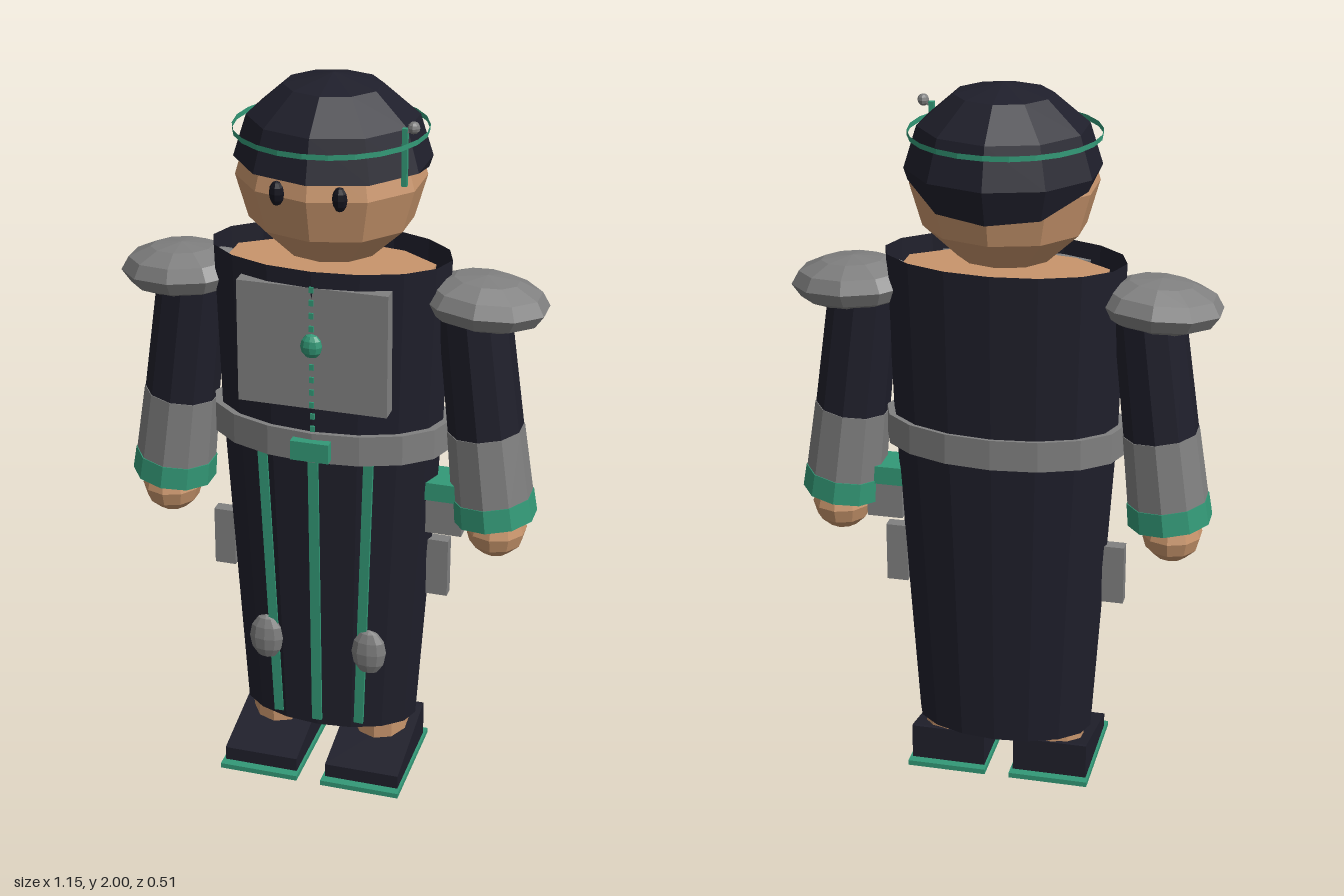
import * as THREE from 'three';

const mat = (name, color) => {
  const m = new THREE.MeshStandardMaterial({ color, flatShading: true, side: THREE.DoubleSide });
  m.name = name;
  return m;
};

export function createModel() {
  const root = new THREE.Group();
  root.name = 'robedFigure';
  const cloth = mat('dark cloth', 0x1f1f2b);
  const metal = mat('grey metal', 0x808080);
  const green = mat('green trim', 0x339977);
  const skin = mat('skin', 0xc8956c);
  const eyeMat = mat('eye black', 0x14141e);

  const add = (name, geo, m, x = 0, y = 0, z = 0, parent = root) => {
    const mesh = new THREE.Mesh(geo, m);
    mesh.name = name;
    mesh.position.set(x, y, z);
    parent.add(mesh);
    return mesh;
  };
  const box = (w, h, d) => new THREE.BoxGeometry(w, h, d);
  // Low-poly ellipsoid with a vertex column at the front
  const ball = (rx, ry, rz, cols = 10, rows = 6) =>
    new THREE.SphereGeometry(1, cols, rows, Math.PI / 2).scale(rx, ry, rz);
  // Thin bar between two points
  const bar = (name, a, b, w, d, m) => {
    const p = new THREE.Vector3(...a), q = new THREE.Vector3(...b);
    const c = p.clone().add(q).multiplyScalar(0.5);
    const mesh = add(name, box(w, p.distanceTo(q), d), m, c.x, c.y, c.z);
    mesh.quaternion.setFromUnitVectors(new THREE.Vector3(0, 1, 0), q.sub(p).normalize());
    return mesh;
  };
  // Elliptical open shell turned from [radius, height] pairs
  const shell = (pts, segs = 16) =>
    new THREE.LatheGeometry(pts.map(p => new THREE.Vector2(...p)), segs).scale(1, 1, 0.555);

  // Robe, belt and the body inside
  add('robe', shell([[0.25, 0.14], [0.305, 1.0], [0.31, 1.08], [0.325, 1.535]]), cloth, 0, 0, 0.004);
  add('belt', shell([[0.30, 0.995], [0.33, 0.995], [0.33, 1.08], [0.30, 1.08]]), metal, 0, 0, 0.006);
  add('beltBuckle', box(0.105, 0.055, 0.03), green, 0, 1.035, 0.195);
  add('torso', new THREE.CylinderGeometry(0.285, 0.25, 0.5, 10).scale(1, 1, 0.5), skin, 0, 1.25, 0.004);

  // Breastplate with medallion and studs
  add('breastplate', box(0.405, 0.34, 0.05), metal, 0, 1.32, 0.158);
  add('medallion', ball(0.03, 0.034, 0.02, 10, 6), green, 0, 1.33, 0.185);
  for (let i = 0; i < 12; i++) {
    const y = 1.09 + i * 0.036;
    add('stud', box(0.012, 0.016, 0.01), green, 0, y, y < 1.15 || y > 1.49 ? 0.177 : 0.183);
  }

  // Skirt stripes
  bar('centreStripe', [0, 0.16, 0.146], [0, 1.0, 0.175], 0.028, 0.009, green);

  // Head, eyes
  add('head', ball(0.25, 0.23, 0.224), skin, 0, 1.735, 0.003);

  // Cap: upper dome, with the lowest ring pulled down only at the back
  const cap = new THREE.SphereGeometry(1, 10, 4, Math.PI / 2, Math.PI * 2, 0, Math.PI * 2 / 3);
  cap.scale(0.258, 0.22, 0.243);
  const pos = cap.attributes.position;
  for (let i = 0; i < pos.count; i++) {
    if (pos.getY(i) > -0.01) continue;
    const z = pos.getZ(i);
    const t = z > 0 ? 0 : z > -0.1 ? 0.3 : z > -0.19 ? 0.8 : 0.9;
    const k = (1 - t * 0.134) / 0.866;
    pos.setXYZ(i, pos.getX(i) * k, -0.105 * t, z * k);
  }
  add('cap', cap, cloth, 0, 1.78, -0.013);
  const band = new THREE.CylinderGeometry(0.252, 0.252, 0.014, 24, 1, true);
  add('capBand', band, green, 0, 1.865, 0.007);
  add('antennaRod', box(0.014, 0.15, 0.014), green, 0.218, 1.832, 0.098);
  bar('antennaTip', [0.218, 1.895, 0.098], [0.24, 1.91, 0.098], 0.008, 0.008, metal);
  add('antennaBall', ball(0.016, 0.016, 0.016, 8, 6), metal, 0.24, 1.91, 0.098);

  for (const s of [1, -1]) {
    add('eye', ball(0.02, 0.033, 0.016, 8, 6), eyeMat, s * 0.082, 1.745, 0.208);
    bar('sideStripe', [s * 0.117, 0.16, 0.129], [s * 0.147, 1.0, 0.155], 0.026, 0.012, green);
    add('kneePad', ball(0.05, 0.07, 0.025, 10, 6), metal, s * 0.148, 0.405, 0.14);

    // Legs and wedge shoes on flat soles
    add('leg', new THREE.CylinderGeometry(0.085, 0.08, 0.92, 10), skin, s * 0.15, 0.52, 0.004);
    const side = new THREE.Shape([[-0.21, 0.015], [0.08, 0.015], [0.08, 0.118], [0.07, 0.118], [-0.21, 0.055]]
      .map(p => new THREE.Vector2(...p)));
    const shoe = new THREE.ExtrudeGeometry(side, { depth: 0.212, bevelEnabled: false });
    shoe.translate(0, 0, -0.106).rotateY(Math.PI / 2);
    add('shoe', shoe, cloth, s * 0.148);
    add('sole', box(0.226, 0.015, 0.34), green, s * 0.148, 0.0075, 0.065);

    // Arm hangs outward from the shoulder
    const arm = new THREE.Group();
    arm.name = s > 0 ? 'leftArm' : 'rightArm';
    arm.position.set(s * 0.384, 1.42, 0.004);
    arm.rotation.z = s * 0.122;
    root.add(arm);
    const tube = (name, r1, r2, top, bottom, m) =>
      add(name, new THREE.CylinderGeometry(r1, r2, top - bottom, 10), m, 0, (top + bottom) / 2, 0, arm);
    tube('sleeve', 0.095, 0.102, 0.02, -0.36, cloth);
    tube('bracer', 0.104, 0.111, -0.35, -0.56, metal);
    tube('cuff', 0.113, 0.116, -0.545, -0.61, green);
    add('hand', ball(0.083, 0.078, 0.087, 10, 6), skin, s * 0.465, 0.778, 0.004);
    const pad = add('shoulderPad', ball(0.172, 0.072, 0.135), metal, s * 0.412, 1.432, 0.002);
    pad.rotation.z = -s * 0.06;

    // Hip plates
    add('hipPlate', box(0.06, 0.17, 0.035), metal, s * 0.307, 0.635, 0.006);
  }

  // Pouch on the left hip
  add('pouch', box(0.1, 0.1, 0.1), metal, 0.33, 0.81, 0.006);
  add('pouchFlap', box(0.106, 0.052, 0.108), green, 0.33, 0.886, 0.006);

  return root;
}
